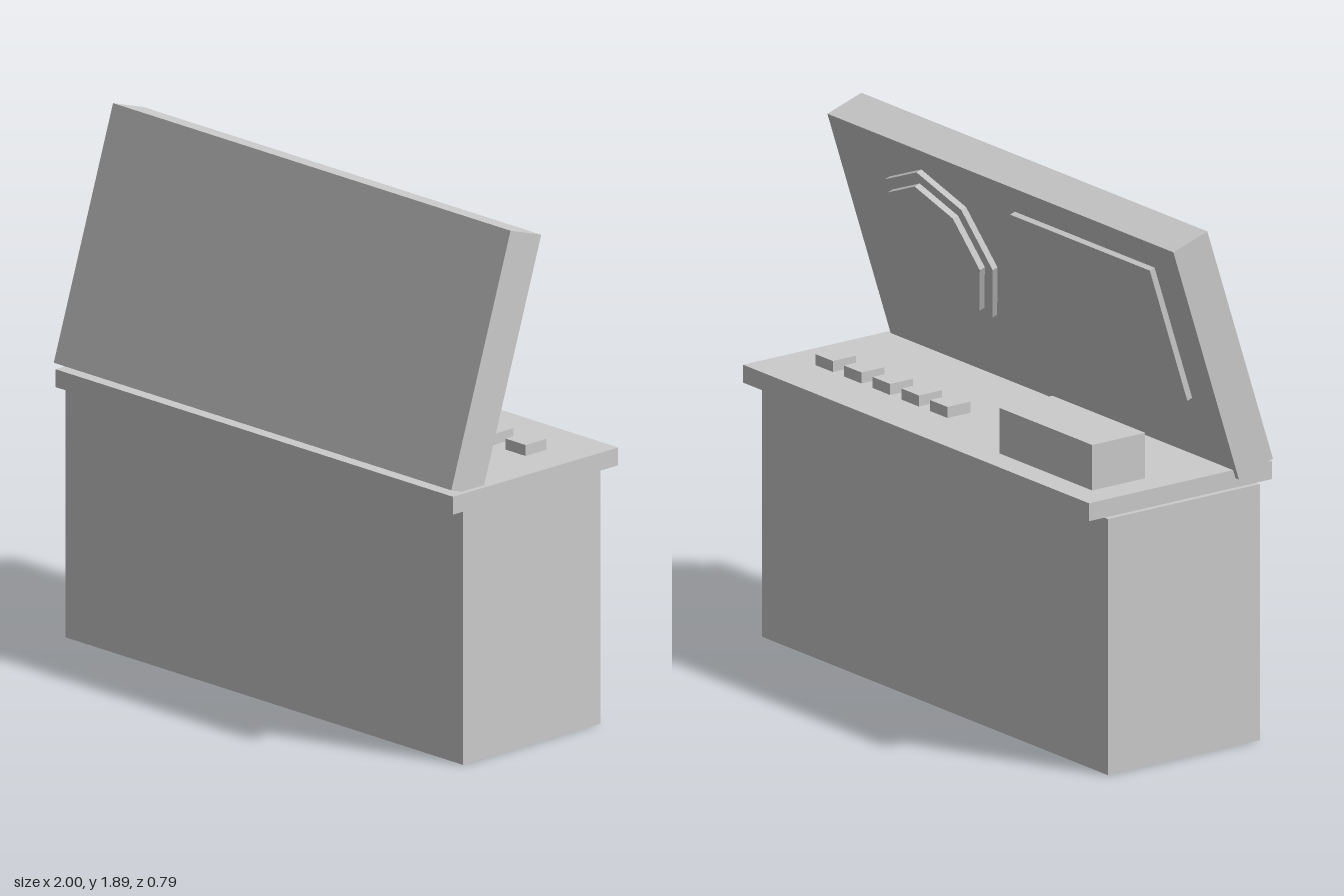
import * as THREE from 'three';

export function createModel() {
  const model = new THREE.Group();
  model.name = 'console';
  const grey = new THREE.MeshStandardMaterial({ color: 0xcccccc });
  grey.name = 'light grey';

  // Box given by its min and max corners
  function box(parent, name, [x0, y0, z0], [x1, y1, z1]) {
    const mesh = new THREE.Mesh(new THREE.BoxGeometry(x1 - x0, y1 - y0, z1 - z0), grey);
    mesh.position.set((x0 + x1) / 2, (y0 + y1) / 2, (z0 + z1) / 2);
    mesh.name = name;
    parent.add(mesh);
    return mesh;
  }

  // Cabinet and overhanging top
  box(model, 'cabinet', [-1, 0, -0.33], [0.98, 0.93, 0.33]);
  box(model, 'countertop', [-0.98, 0.93, -0.397], [1, 0.995, 0.397]);

  // Raised block and row of buttons on the operator side
  box(model, 'controlBlock', [-0.87, 0.995, -0.3], [-0.34, 1.16, -0.07]);
  for (let i = 0; i < 5; i++) {
    const x = 0.09 + i * 0.164;
    box(model, `button${i + 1}`, [x, 0.995, -0.2], [x + 0.1, 1.035, -0.1]);
  }

  // Tilted panel, leaning back over the controls
  const height = 0.925, depth = 0.155;
  const panel = new THREE.Group();
  panel.name = 'tiltedPanel';
  panel.position.set(-0.01, 1.4275, 0.17);
  panel.rotation.x = -0.313;
  model.add(panel);
  box(panel, 'panelBoard', [-0.99, -height / 2, -depth / 2], [0.99, height / 2, depth / 2]);

  // Rectangular screen on the back of the panel
  const top = height / 2, back = -depth / 2;
  box(panel, 'screen', [-0.84, top - 0.635, back - 0.022], [-0.04, top - 0.105, back]);

  // Octagonal dial made of two stepped plates
  function octagon(name, radius, zNear, zFar) {
    const geometry = new THREE.CylinderGeometry(radius, radius, zNear - zFar, 8).toNonIndexed();
    geometry.rotateX(Math.PI / 2);
    geometry.computeVertexNormals();
    const mesh = new THREE.Mesh(geometry, grey);
    mesh.position.set(0.486, top - 0.393, (zNear + zFar) / 2);
    mesh.name = name;
    panel.add(mesh);
  }
  octagon('dialBase', 0.31, back, back - 0.022);
  octagon('dialFace', 0.265, back - 0.022, back - 0.045);

  return model;
}
